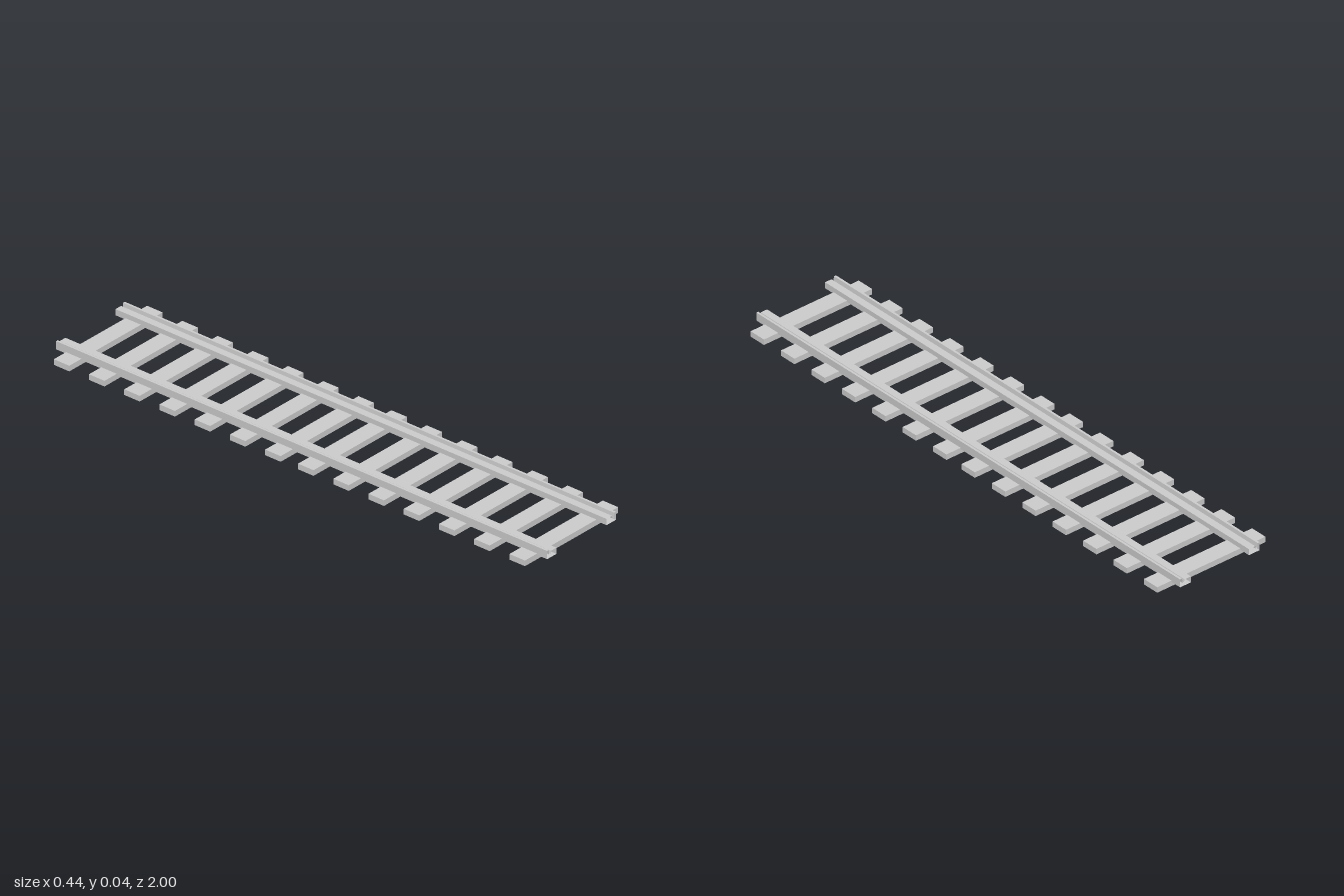
import * as THREE from 'three';

const material = new THREE.MeshStandardMaterial({ color: 0xcccccc, flatShading: true, side: THREE.DoubleSide });

// Rail cross-section (x, y): plain outer wall, raised head, groove, lower inner flange
const railProfile = [
  [0.118, 0.015], [0.162, 0.015], [0.162, 0.044], [0.154, 0.044],
  [0.152, 0.027], [0.146, 0.027], [0.144, 0.037], [0.118, 0.037],
];

// Sweep the closed profile along z, leaving both ends open
function railGeometry(side) {
  const positions = [];
  const n = railProfile.length;
  for (let i = 0; i < n; i++) {
    let a = railProfile[i];
    let b = railProfile[(i + 1) % n];
    if (side < 0) [a, b] = [b, a];
    const [ax, ay, bx, by] = [a[0] * side, a[1], b[0] * side, b[1]];
    positions.push(ax, ay, 1, bx, by, -1, bx, by, 1);
    positions.push(ax, ay, 1, ax, ay, -1, bx, by, -1);
  }
  const geometry = new THREE.BufferGeometry();
  geometry.setAttribute('position', new THREE.Float32BufferAttribute(positions, 3));
  // reverse the winding so faces point outwards
  geometry.setIndex(Array.from({ length: positions.length / 3 }, (_, i) => i - (i % 3) + [0, 2, 1][i % 3]));
  geometry.computeVertexNormals();
  return geometry;
}

export function createModel() {
  const track = new THREE.Group();
  track.name = 'railwayTrack';

  // Two mirrored rails
  for (const side of [1, -1]) {
    const rail = new THREE.Mesh(railGeometry(side), material);
    rail.name = side > 0 ? 'leftRail' : 'rightRail';
    track.add(rail);
  }

  // Seven sleepers in each half, mirrored about the middle
  const sleeperGeometry = new THREE.BoxGeometry(0.44, 0.02, 0.063);
  for (const side of [1, -1]) {
    for (let i = 0; i < 7; i++) {
      const sleeper = new THREE.Mesh(sleeperGeometry, material);
      sleeper.name = 'sleeper';
      sleeper.position.set(0, 0.01, side * (0.067 + i * 0.1435));
      track.add(sleeper);
    }
  }
  return track;
}
